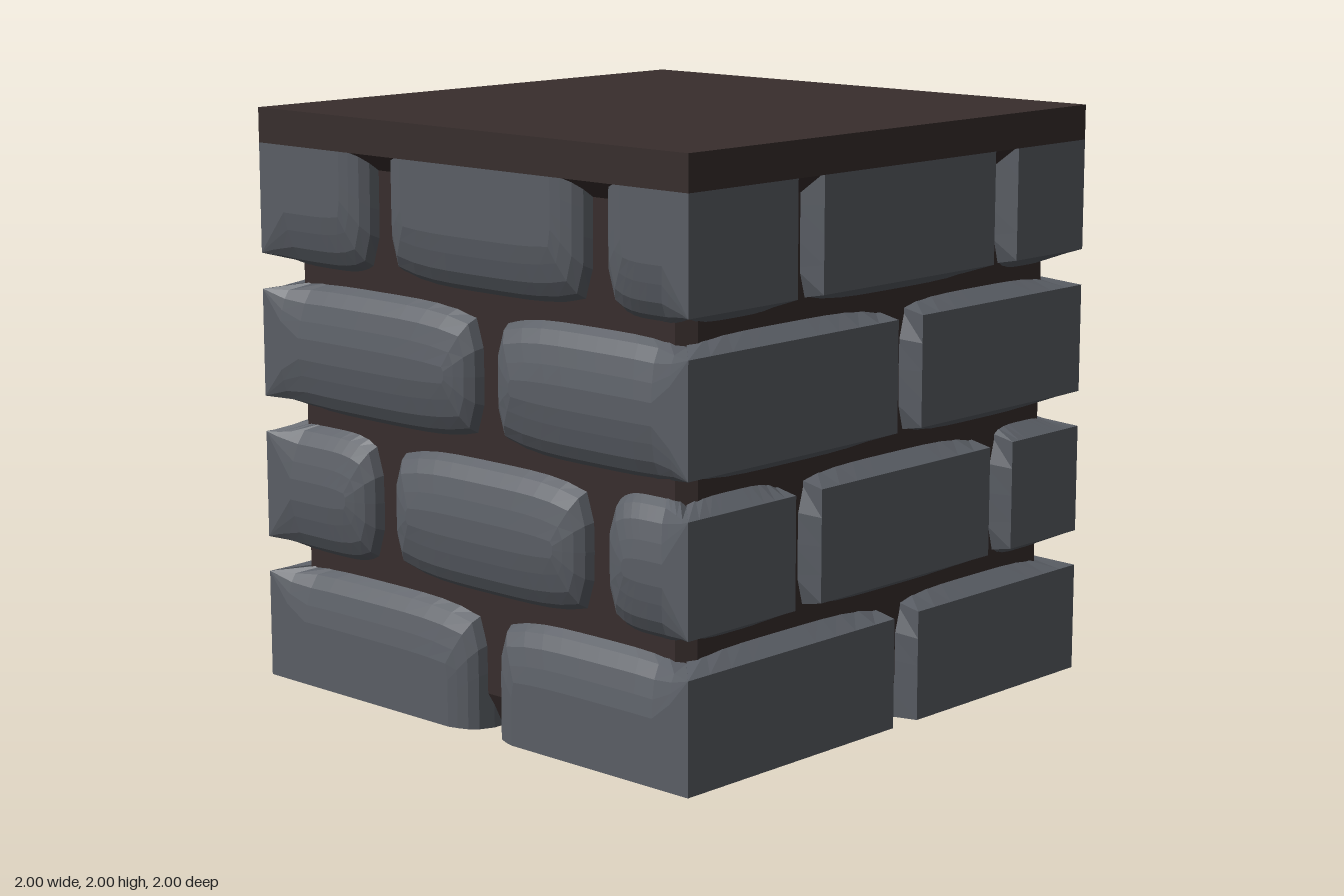
import * as THREE from 'three';

const brickMat = new THREE.MeshStandardMaterial({ color: 0x5b5f66 });
brickMat.name = 'slate grey brick';
const mortarMat = new THREE.MeshStandardMaterial({ color: 0x382e2d });
mortarMat.name = 'dark brown mortar';

const lerp = THREE.MathUtils.lerp;

// Faceted solid through equal-length rings; flat() gives a ring's outline in 2D for the end caps
function loft(rings, flat) {
  const pos = [];
  const tri = (a, b, c) => pos.push(...a, ...b, ...c);
  for (let r = 0; r < rings.length - 1; r++) {
    const A = rings[r], B = rings[r + 1];
    for (let i = 0; i < A.length; i++) {
      const j = (i + 1) % A.length;
      tri(A[i], A[j], B[j]);
      tri(A[i], B[j], B[i]);
    }
  }
  const cap = (ring, flip) => {
    const faces = THREE.ShapeUtils.triangulateShape(ring.map(flat), []);
    for (const [a, b, c] of faces) flip ? tri(ring[a], ring[c], ring[b]) : tri(ring[a], ring[b], ring[c]);
  };
  cap(rings[0], true);
  cap(rings[rings.length - 1], false);
  const g = new THREE.BufferGeometry();
  g.setAttribute('position', new THREE.Float32BufferAttribute(pos, 3));
  g.computeVertexNormals();
  return g;
}

// Ring profiles from the wall outwards: inset, depth below the face, corner bow, buried base ring
const FLAT = [[-0.05, 0.14, 0.03, true], [-0.05, 0.1, 0.03, true], [0, 0, 0, false]];
const PILLOW = [
  [-0.05, 0.14, 0.035, true], [-0.05, 0.1, 0.035, true], [-0.015, 0.05, 0.03, false],
  [0.03, 0.025, 0.025, false], [0.09, 0.01, 0.02, false], [0.15, 0, 0.01, false],
];

// One brick on the +z wall; ends at x = -1 or 1 are mitred into the next wall
function brickGeometry(a, b, y0, y1, profile) {
  const left = a === -1, right = b === 1;
  const fixedBottom = y0 === 0, fixedTop = y1 > 1.8;
  const rings = profile.map(([e, d, bow, base]) => {
    const point = (s, t) => {
      const k = (s + 1) / 2;
      const u = lerp(a, b, k);
      const dist = left ? u + 1 : right ? 1 - u : 9;
      const f = base ? 1 : Math.min(1, dist / 0.15);
      const tt = (fixedBottom && t < 0) || (fixedTop && t > 0) ? 0 : t;
      const inset = 0.6 * e + bow * tt ** 4;
      const mitre = base ? d : 0;
      const x0 = left ? -1 + mitre : a + inset;
      const x1 = right ? 1 - mitre : b - inset;
      const rise = (e + bow * s ** 4) * f;
      const lo = fixedBottom ? y0 : y0 + rise;
      const hi = fixedTop ? y1 : y1 - rise;
      return [lerp(x0, x1, k), lerp(lo, hi, (t + 1) / 2), 1 - d * f];
    };
    const ring = [], ns = 10, nt = 4;
    for (let i = 0; i < ns; i++) ring.push(point(-1 + 2 * i / ns, -1));
    for (let i = 0; i < nt; i++) ring.push(point(1, -1 + 2 * i / nt));
    for (let i = 0; i < ns; i++) ring.push(point(1 - 2 * i / ns, 1));
    for (let i = 0; i < nt; i++) ring.push(point(-1, 1 - 2 * i / nt));
    return ring;
  });
  return loft(rings, p => new THREE.Vector2(p[0], p[1]));
}

// Four courses in running bond
function wall(profile, name) {
  const g = new THREE.Group();
  g.name = name;
  const even = [[-1, 0], [0.125, 1]];
  const odd = [[-1, -0.5], [-0.375, 0.5], [0.625, 1]];
  for (let row = 0; row < 4; row++) {
    const y0 = row * 0.5, y1 = row === 3 ? 1.88 : y0 + 0.375;
    for (const [a, b] of row % 2 ? odd : even) {
      const m = new THREE.Mesh(brickGeometry(a, b, y0, y1, profile), brickMat);
      m.name = 'brick';
      g.add(m);
    }
  }
  return g;
}

export function createModel() {
  const model = new THREE.Group();
  model.name = 'brickBlock';

  // Mortar core with chamfered corners, drawn in at the foot and flared below the cap
  const levels = [[0, 0.86], [0.12, 0.92], [1.82, 0.92], [1.88, 0.99]];
  const rings = levels.map(([y, h]) => {
    const c = h - 0.05;
    return [[h, -c], [c, -h], [-c, -h], [-h, -c], [-h, c], [-c, h], [c, h], [h, c]].map(([x, z]) => [x, y, z]);
  });
  const core = new THREE.Mesh(loft(rings, p => new THREE.Vector2(p[0], -p[2])), mortarMat);
  core.name = 'mortarCore';
  model.add(core);

  // Flat cap
  const cap = new THREE.Mesh(new THREE.BoxGeometry(2, 0.12, 2), mortarMat);
  cap.name = 'topCap';
  cap.position.y = 1.94;
  model.add(cap);

  // Rounded bricks front and back, crisp bricks left and right
  ['frontWall', 'leftWall', 'backWall', 'rightWall'].forEach((name, i) => {
    const w = wall(i % 2 ? FLAT : PILLOW, name);
    w.rotation.y = i * Math.PI / 2;
    model.add(w);
  });
  return model;
}
